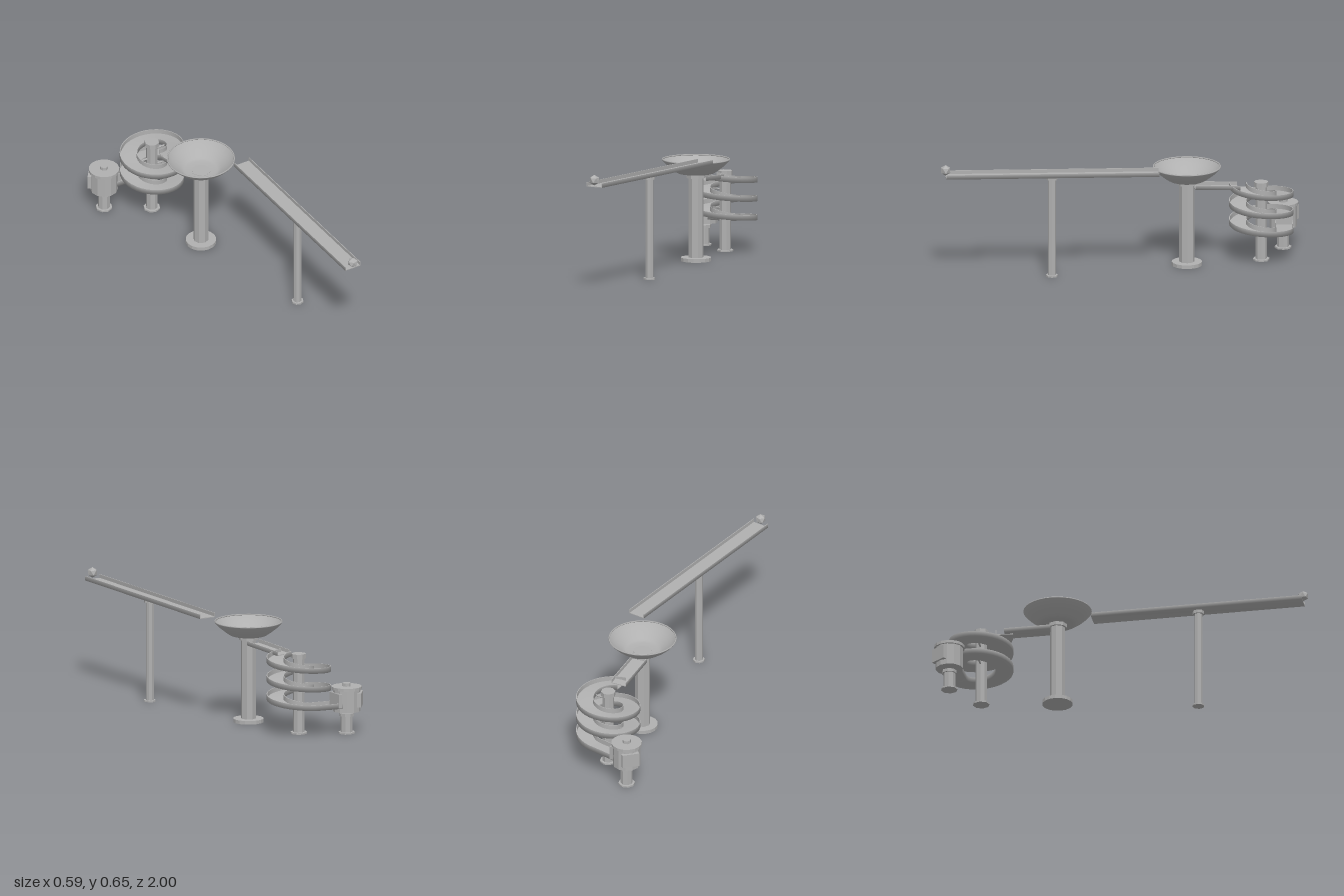
import * as THREE from 'three';

const grey = new THREE.MeshStandardMaterial({ color: 0xb0b0b0 });
grey.name = 'grey';
const greyFacet = grey.clone();
greyFacet.flatShading = true;
greyFacet.name = 'grey facets';
const greyOpen = grey.clone();
greyOpen.side = THREE.DoubleSide;
greyOpen.name = 'grey thin shell';

function add(parent, name, geometry, material, x = 0, y = 0, z = 0) {
  const mesh = new THREE.Mesh(geometry, material);
  mesh.name = name;
  mesh.position.set(x, y, z);
  parent.add(mesh);
  return mesh;
}

// Upright faceted cylinder between two heights
function drum(parent, name, x, z, r, y0, y1, sides = 8) {
  return add(parent, name, new THREE.CylinderGeometry(r, r, y1 - y0, sides), greyFacet, x, (y0 + y1) / 2, z);
}

// Column with a foot plate and a collar
function column(parent, name, x, z, o) {
  const g = new THREE.Group();
  g.name = name;
  drum(g, 'shaft', x, z, o.r, 0, o.top - 0.002);
  drum(g, 'foot', x, z, o.foot, 0, o.footH, o.footSides ?? 8);
  drum(g, 'collar', x, z, o.collar, o.top - o.collarH, o.top);
  parent.add(g);
}

// U-shaped channel swept along a path; w = half width, h = wall height, t = thickness
function channel(path, w, h, t) {
  const profile = [[-w, h], [-w, 0], [w, 0], [w, h], [w - t, h], [w - t, t], [t - w, t], [t - w, h]];
  const strips = [[0, 1, 2, 3], [3, 4], [4, 5], [5, 6], [6, 7], [7, 0]];
  const pos = [], index = [];
  const rings = path.map((p, i) => {
    const d = path[Math.min(i + 1, path.length - 1)].clone().sub(path[Math.max(i - 1, 0)]);
    const side = new THREE.Vector3(-d.z, 0, d.x).normalize();
    return profile.map(([s, y]) => [p.x + side.x * s, p.y + y, p.z + side.z * s]);
  });
  for (const strip of strips) {
    const n = strip.length, base = pos.length / 3;
    for (const ring of rings) for (const j of strip) pos.push(...ring[j]);
    for (let i = 0; i < rings.length - 1; i++) {
      for (let j = 0; j < n - 1; j++) {
        const a = base + i * n + j, b = a + 1, c = a + n, e = c + 1;
        index.push(a, c, b, b, c, e);
      }
    }
  }
  // End caps
  const cap = (ring, flip) => {
    const b = pos.length / 3;
    for (const v of ring) pos.push(...v);
    for (const [p, q, r, s] of [[0, 1, 6, 7], [1, 2, 5, 6], [2, 3, 4, 5]]) {
      if (flip) index.push(b + p, b + r, b + q, b + p, b + s, b + r);
      else index.push(b + p, b + q, b + r, b + p, b + r, b + s);
    }
  };
  cap(rings[0], false);
  cap(rings[rings.length - 1], true);
  const g = new THREE.BufferGeometry();
  g.setAttribute('position', new THREE.Float32BufferAttribute(pos, 3));
  g.setIndex(index);
  g.computeVertexNormals();
  return g;
}

const V = (x, y, z) => new THREE.Vector3(x, y, z);

export function createModel() {
  const model = new THREE.Group();
  model.name = 'marbleRun';

  // Long straight track with marble and support
  const tx = 0.244;
  add(model, 'startTrack', channel([V(tx, 0.578, 0.972), V(tx, 0.566, -0.197)], 0.049, 0.024, 0.004), grey);
  const marble = add(model, 'marble', new THREE.IcosahedronGeometry(0.0295, 0), greyFacet, tx, 0.617, 0.972);
  marble.rotation.z = Math.atan(2 / (1 + Math.sqrt(5)));
  column(model, 'trackSupport', tx, 0.39, { r: 0.0223, foot: 0.033, footH: 0.009, collar: 0.032, collarH: 0.018, top: 0.57 });

  // Funnel bowl on a thick column
  const bx = 0.085, bz = -0.363;
  column(model, 'bowlSupport', bx, bz, { r: 0.042, foot: 0.084, footH: 0.02, footSides: 16, collar: 0.053, collarH: 0.022, top: 0.48 });
  const bowlCurve = new THREE.SplineCurve([[0.03, 0.477], [0.083, 0.481], [0.11, 0.491], [0.16, 0.529], [0.187, 0.558]]
    .map(([r, y]) => new THREE.Vector2(r, y)));
  add(model, 'bowl', new THREE.LatheGeometry(bowlCurve.getPoints(12), 32), greyOpen, bx, 0, bz);
  const rim = add(model, 'bowlRim', new THREE.TorusGeometry(0.183, 0.004, 6, 32), grey, bx, 0.56, bz);
  rim.rotation.x = Math.PI / 2;

  // Ramp from the bowl to the spiral
  add(model, 'bowlOutlet', channel([V(0.079, 0.437, -0.4), V(0.041, 0.417, -0.65)], 0.045, 0.024, 0.004), grey);

  // Spiral channel: two and a half turns, then a straight run to the catcher
  const hx = 0.022, hz = -0.775, pitch = 0.104, turns = 2.5, mid = 0.128;
  const path = [];
  for (let i = 0; i <= 90; i++) {
    const a = (i / 90) * turns * Math.PI * 2;
    path.push(V(hx + mid * Math.sin(a), 0.414 - (pitch * a) / (2 * Math.PI), hz + mid * Math.cos(a)));
  }
  path.push(V(-0.06, 0.152, -0.907), V(-0.147, 0.15, -0.912));
  add(model, 'spiralChannel', channel(path, 0.048, 0.03, 0.004), grey);
  column(model, 'spiralSupport', hx, hz, { r: 0.032, foot: 0.046, footH: 0.009, collar: 0.04, collarH: 0.026, top: 0.445 });

  // Struts joining the spiral to its column
  for (let k = 0; k < 5; k++) {
    const side = k % 2 ? -1 : 1;
    const strut = add(model, 'spiralStrut', new THREE.CylinderGeometry(0.005, 0.005, 0.062, 6), greyFacet,
      hx + side * 0.056, 0.392 - k * pitch / 2, hz);
    strut.rotation.z = Math.PI / 2;
  }

  // Catcher drum with lid, knob and side plates
  const cx = -0.2, cz = -0.913;
  column(model, 'catcherSupport', cx, cz, { r: 0.033, foot: 0.046, footH: 0.009, collar: 0.041, collarH: 0.017, top: 0.114 });
  drum(model, 'catcherDrum', cx, cz, 0.0755, 0.125, 0.25, 12);
  drum(model, 'catcherLid', cx, cz, 0.084, 0.247, 0.263, 16);
  drum(model, 'catcherKnob', cx, cz, 0.023, 0.262, 0.281);
  for (const [name, angle, dist] of [['inletPlate', 0, 0.07], ['rearPlate', Math.PI - 0.68, 0.074]]) {
    const plate = add(model, name, new THREE.BoxGeometry(0.022, 0.078, 0.096), greyFacet,
      cx + Math.cos(angle) * dist, 0.193, cz - Math.sin(angle) * dist);
    plate.rotation.y = angle;
  }
  return model;
}
